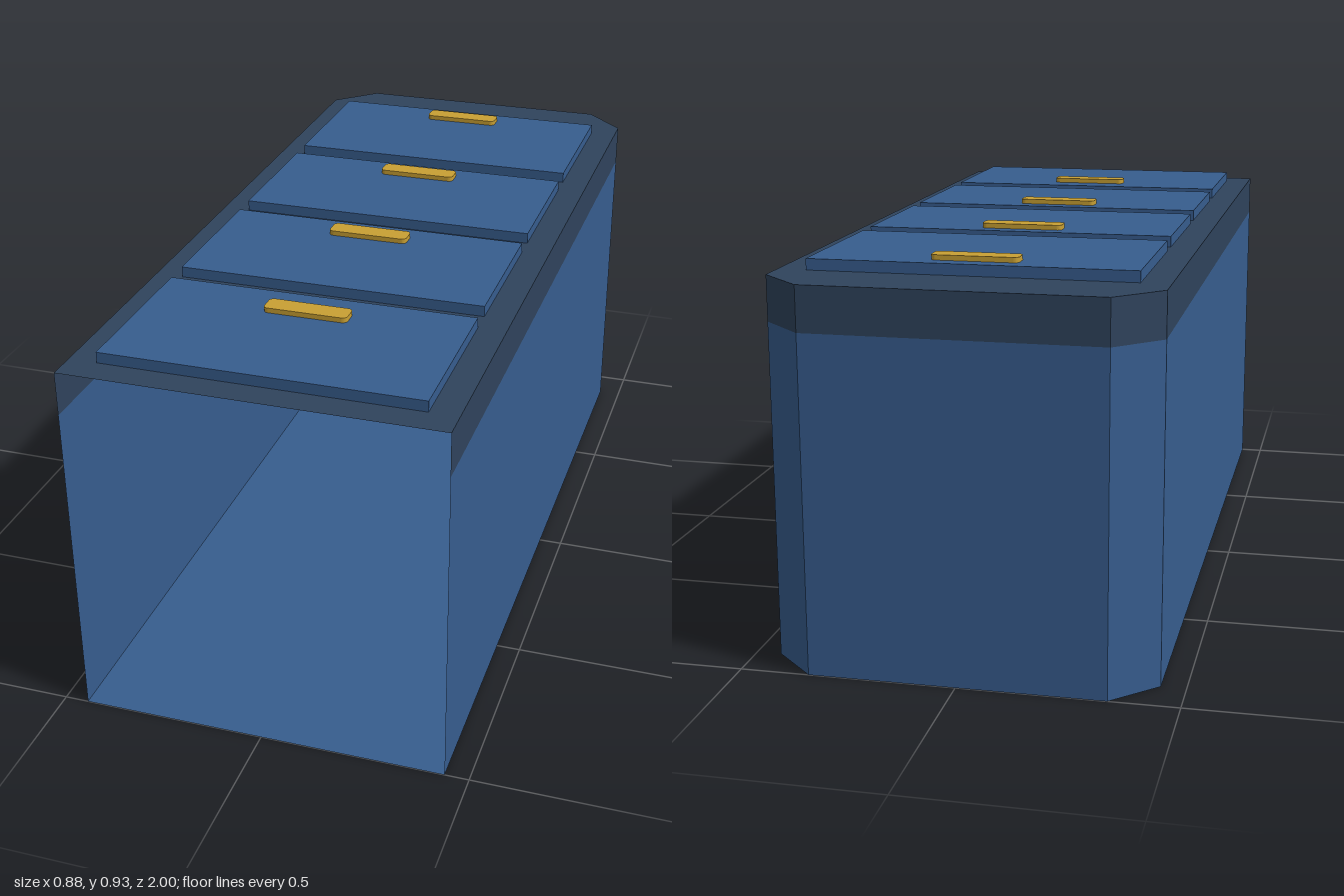
import * as THREE from 'three';

const blue = new THREE.MeshStandardMaterial({ color: 0x375d8e, side: THREE.DoubleSide });
const navy = new THREE.MeshStandardMaterial({ color: 0x2f435c, side: THREE.DoubleSide });
const brass = new THREE.MeshStandardMaterial({ color: 0xc9a033 });
blue.name = 'cabinet blue';
navy.name = 'dark navy';
brass.name = 'brass';

// Footprint as [x, z], open along the +z side, with two cut corners at the back
const outline = [[0.4425, 1], [0.4425, -0.9], [0.34, -1], [-0.34, -1], [-0.4425, -0.9], [-0.4425, 1]];
const HEIGHT = 0.89;
const BAND = 0.785;

// Thin upright wall following the footprint between two heights
function wallGeometry(y0, y1) {
  const pos = [];
  for (let i = 0; i < outline.length - 1; i++) {
    const [ax, az] = outline[i];
    const [bx, bz] = outline[i + 1];
    pos.push(ax, y0, az, bx, y0, bz, bx, y1, bz);
    pos.push(ax, y0, az, bx, y1, bz, ax, y1, az);
  }
  const g = new THREE.BufferGeometry();
  g.setAttribute('position', new THREE.Float32BufferAttribute(pos, 3));
  g.computeVertexNormals();
  return g;
}

// Horizontal sheet with the footprint, facing up (1) or down (-1)
function sheetGeometry(y, facing) {
  const shape = new THREE.Shape(outline.map(([x, z]) => new THREE.Vector2(x, -facing * z)));
  return new THREE.ShapeGeometry(shape).rotateX(-facing * Math.PI / 2).translate(0, y, 0);
}

// Flat pull bar with rounded corners
function handleGeometry() {
  const w = 0.1, d = 0.026, r = 0.012;
  const s = new THREE.Shape();
  s.absarc(w - r, d - r, r, 0, Math.PI / 2);
  s.absarc(r - w, d - r, r, Math.PI / 2, Math.PI);
  s.absarc(r - w, r - d, r, Math.PI, Math.PI * 1.5);
  s.absarc(w - r, r - d, r, Math.PI * 1.5, Math.PI * 2);
  return new THREE.ExtrudeGeometry(s, { depth: 0.016, bevelEnabled: false, curveSegments: 3 })
    .rotateX(-Math.PI / 2);
}

export function createModel() {
  const model = new THREE.Group();
  model.name = 'drawerCabinet';

  const add = (name, geometry, material, parent = model) => {
    const mesh = new THREE.Mesh(geometry, material);
    mesh.name = name;
    parent.add(mesh);
    return mesh;
  };

  // Hollow shell
  add('walls', wallGeometry(0, BAND), blue);
  add('topBand', wallGeometry(BAND, HEIGHT), navy);
  add('floor', sheetGeometry(0, -1), blue);
  add('topPanel', sheetGeometry(HEIGHT, 1), navy);

  // Four drawer fronts set into the top, each with a handle: [back z, front z, handle z]
  const drawers = [[-0.83, -0.42, -0.766], [-0.358, 0.018, -0.296], [0.08, 0.46, 0.145], [0.522, 0.93, 0.611]];
  const handle = handleGeometry();
  drawers.forEach(([z0, z1, hz], i) => {
    const drawer = new THREE.Group();
    drawer.name = `drawer${i + 1}`;
    add('drawerFront', new THREE.BoxGeometry(0.75, 0.064, z1 - z0), blue, drawer)
      .position.set(0, 0.884, (z0 + z1) / 2);
    add('handle', handle, brass, drawer).position.set(0, 0.912, hz);
    model.add(drawer);
  });

  return model;
}
